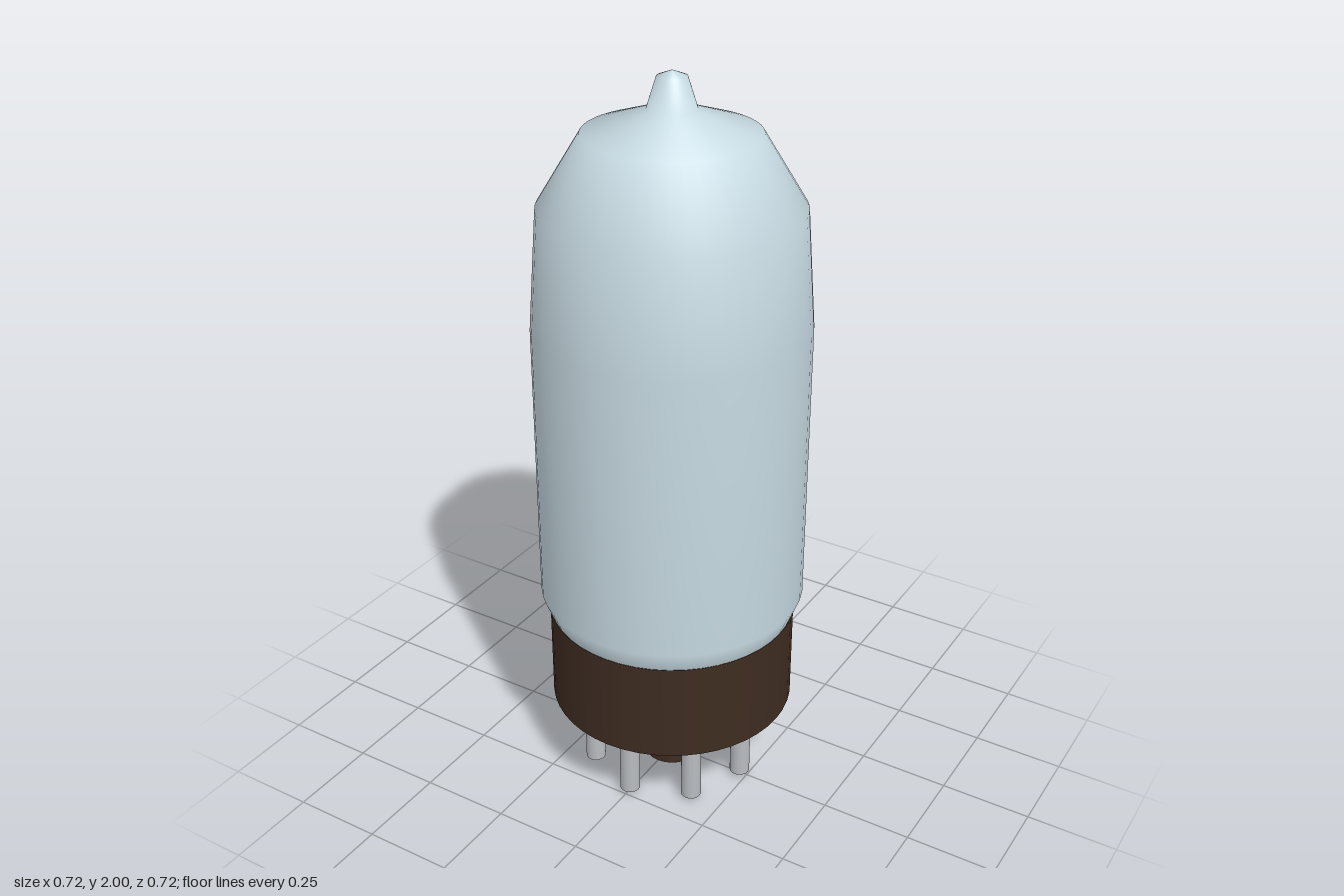
import * as THREE from 'three';

const glass = new THREE.MeshStandardMaterial({ name: 'pale glass', color: 0xc6d9e1 });
const bakelite = new THREE.MeshStandardMaterial({ name: 'dark brown bakelite', color: 0x3e2c21 });
const metal = new THREE.MeshStandardMaterial({ name: 'pin metal', color: 0xb9bcc0 });

function addMesh(parent, name, geometry, material, x, y, z) {
  const mesh = new THREE.Mesh(geometry, material);
  mesh.name = name;
  mesh.position.set(x, y, z);
  parent.add(mesh);
  return mesh;
}

// Upright cylinder spanning two heights
function post(parent, name, radius, bottom, top, sides, material, x = 0, z = 0) {
  const geometry = new THREE.CylinderGeometry(radius, radius, top - bottom, sides);
  return addMesh(parent, name, geometry, material, x, (bottom + top) / 2, z);
}

export function createModel() {
  const model = new THREE.Group();
  model.name = 'vacuumTube';

  // Glass envelope with the sealed tip on top
  const profile = [
    [0.335, 0.515], [0.36, 0.578], [0.36, 1.35], [0.336, 1.665],
    [0.223, 1.85], [0.063, 1.906], [0.038, 1.985], [0, 2],
  ].map(([r, y]) => new THREE.Vector2(r, y));
  addMesh(model, 'glassEnvelope', new THREE.LatheGeometry(profile, 48), glass, 0, 0, 0);

  // Base collar
  post(model, 'base', 0.337, 0.236, 0.517, 48, bakelite);

  // Central locating post with its key ridge
  const locator = new THREE.Group();
  locator.name = 'locator';
  post(locator, 'locatorPost', 0.078, 0, 0.24, 24, bakelite);
  addMesh(locator, 'keyRidge', new THREE.BoxGeometry(0.06, 0.228, 0.06), bakelite, 0.069, 0.126, 0);
  model.add(locator);

  // Ring of eight contact pins
  const pins = new THREE.Group();
  pins.name = 'pins';
  for (let i = 0; i < 8; i++) {
    const a = (i * Math.PI) / 4;
    post(pins, 'pin' + (i + 1), 0.028, 0.012, 0.24, 16, metal, 0.226 * Math.cos(a), 0.226 * Math.sin(a));
  }
  model.add(pins);

  return model;
}
